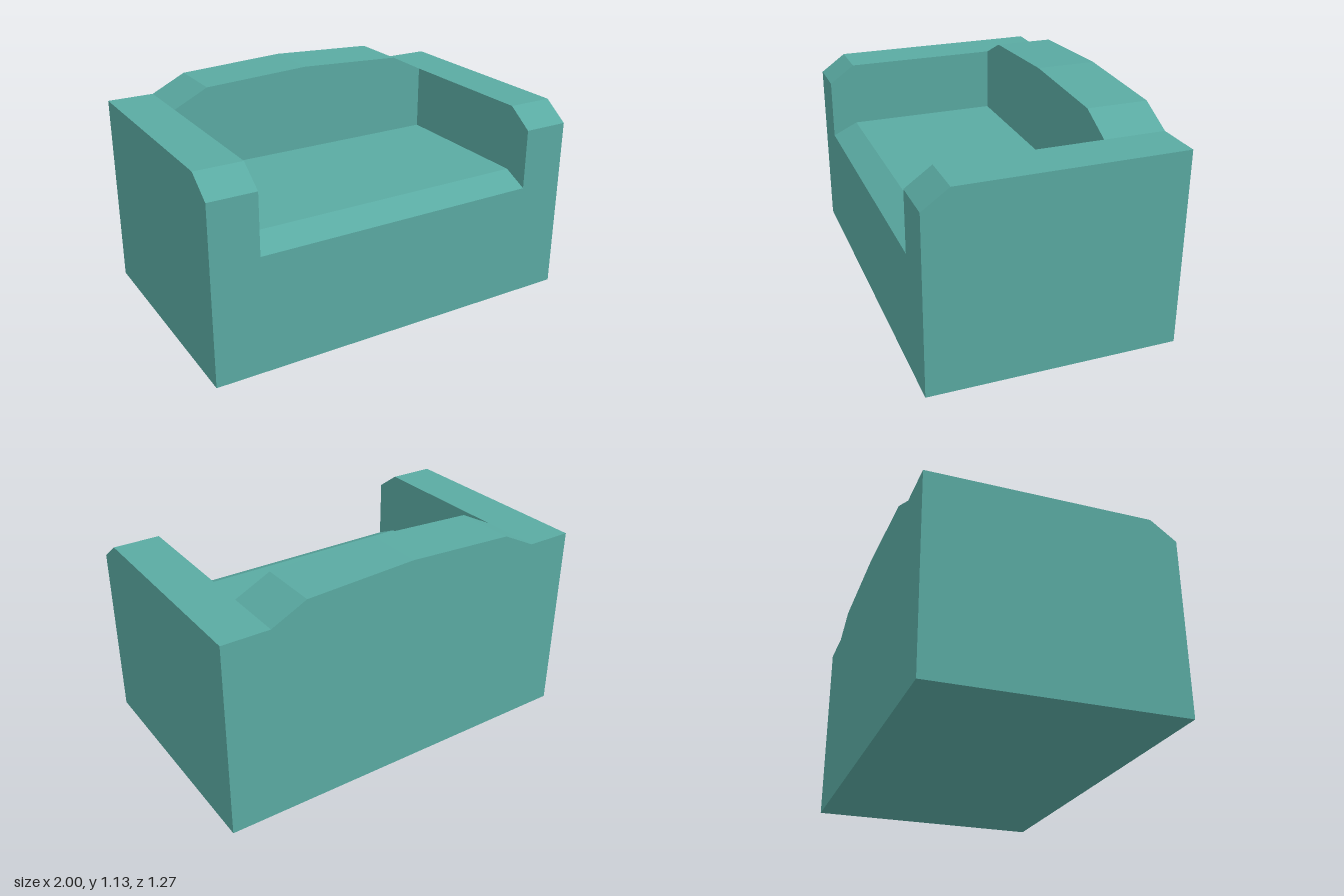
import * as THREE from 'three';

const HALF_DEPTH = 0.635;
const INNER = 0.757; // half the width between the arms

// Extrudes an outline of [x, y] points, centred along z
function prism(points, depth) {
  const shape = new THREE.Shape(points.map(([x, y]) => new THREE.Vector2(x, y)));
  const geometry = new THREE.ExtrudeGeometry(shape, { depth, bevelEnabled: false });
  return geometry.translate(0, 0, -depth / 2);
}

// Side profile given as [z, y], extruded across x
function crossPrism(points, width) {
  return prism(points, width).rotateY(-Math.PI / 2);
}

export function createModel() {
  const group = new THREE.Group();
  group.name = 'sofa';
  const fabric = new THREE.MeshStandardMaterial({ color: 0x5aaaa2 });
  fabric.name = 'teal fabric';

  function add(name, geometry, x = 0, z = 0) {
    const mesh = new THREE.Mesh(geometry, fabric);
    mesh.name = name;
    mesh.position.set(x, 0, z);
    group.add(mesh);
  }

  // Arms with a chamfered front top edge
  const armProfile = [
    [-HALF_DEPTH, 0], [HALF_DEPTH, 0], [HALF_DEPTH, 0.92],
    [0.502, 1.015], [-HALF_DEPTH, 1.015],
  ];
  const armWidth = 1 - INNER;
  for (const [name, side] of [['leftArm', 1], ['rightArm', -1]]) {
    add(name, crossPrism(armProfile, armWidth), side * (1 - armWidth / 2));
  }

  // Seat block sloping down at its front edge
  const backFront = -0.318;
  add('seat', crossPrism([
    [backFront, 0], [HALF_DEPTH, 0], [HALF_DEPTH, 0.605],
    [0.502, 0.668], [backFront, 0.668],
  ], INNER * 2));

  // Backrest with a gently arched top
  const backDepth = HALF_DEPTH + backFront;
  add('backrest', prism([
    [-INNER, 0], [INNER, 0], [INNER, 1.015], [0.575, 1.105],
    [0, 1.133], [-0.575, 1.105], [-INNER, 1.015],
  ], backDepth), 0, -HALF_DEPTH + backDepth / 2);

  return group;
}
